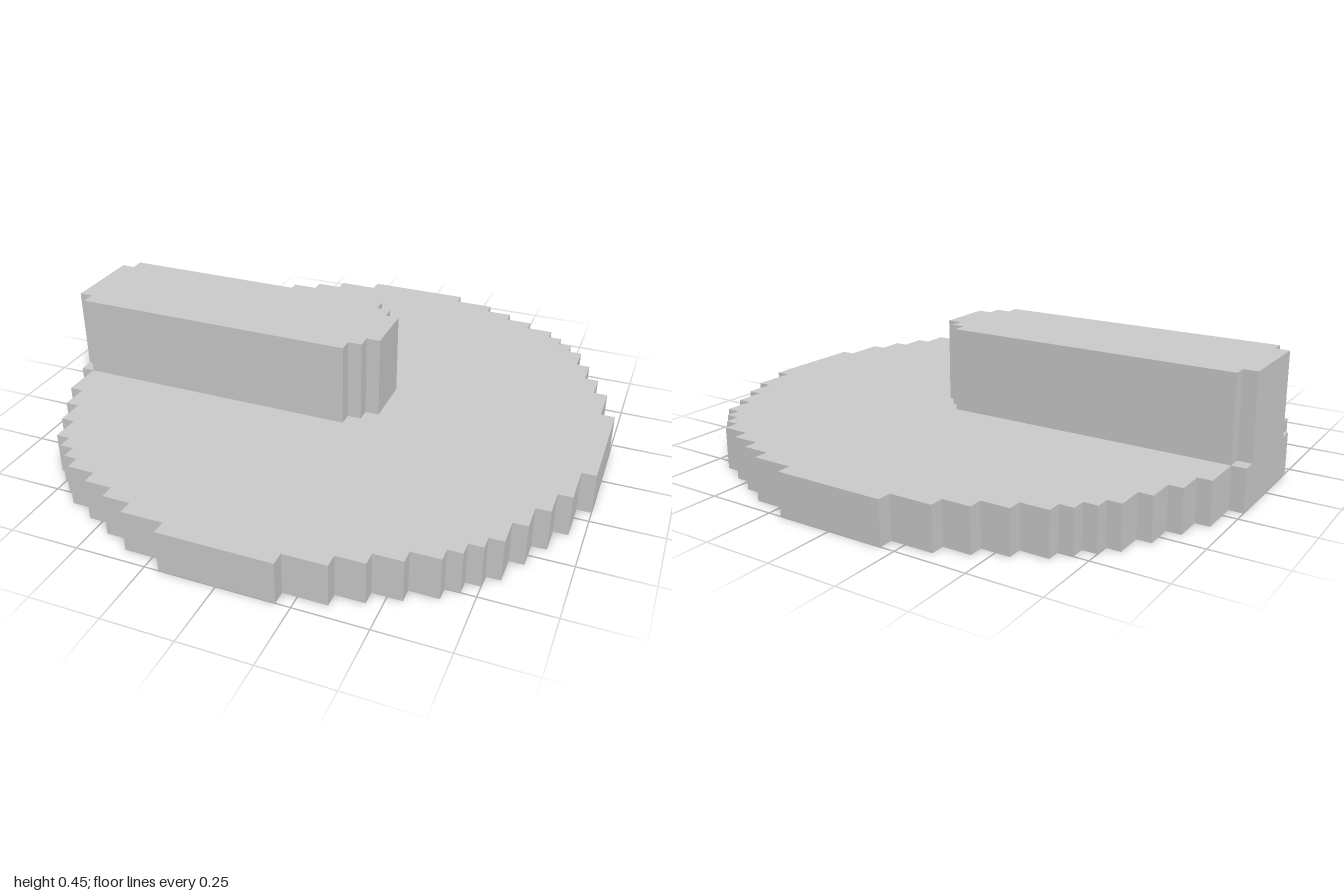
import * as THREE from 'three';

// Extrudes an outline that is mirrored across z = 0, given the half running from -x to +x.
function mirroredSlab(name, half, bottom, height, material) {
  const points = [
    ...half.map(([x, z]) => new THREE.Vector2(x, z)),
    ...[...half].reverse().map(([x, z]) => new THREE.Vector2(x, -z)),
  ];
  const geometry = new THREE.ExtrudeGeometry(new THREE.Shape(points), { depth: height, bevelEnabled: false });
  geometry.rotateX(-Math.PI / 2);
  geometry.translate(0, bottom, 0);
  const mesh = new THREE.Mesh(geometry, material);
  mesh.name = name;
  return mesh;
}

export function createModel() {
  const group = new THREE.Group();
  group.name = 'steppedDial';
  const material = new THREE.MeshStandardMaterial({ color: 0xcccccc, flatShading: true });

  // Stepped round base: each row is [half width in x, z where that row ends]
  const rows = [
    [1, 0.2], [0.95, 0.35], [0.9, 0.45], [0.85, 0.55], [0.8, 0.65], [0.75, 0.7],
    [0.7, 0.75], [0.65, 0.8], [0.55, 0.85], [0.45, 0.9], [0.35, 0.95], [0.2, 1],
  ];
  const left = [];
  rows.forEach(([x, z], i) => {
    if (i > 0) left.push([-x, rows[i - 1][1]]);
    left.push([-x, z]);
  });
  const right = left.map(([x, z]) => [-x, z]).reverse();
  group.add(mirroredSlab('base', [...left, ...right], 0, 0.15, material));

  // Upright bar from the rim to just past the centre, with a stepped nose
  const bar = [
    [-1, 0.15], [-0.95, 0.15], [-0.95, 0.2], [0.1, 0.2],
    [0.1, 0.15], [0.15, 0.15], [0.15, 0.1], [0.2, 0.1],
  ];
  group.add(mirroredSlab('bar', bar, 0.15, 0.3, material));

  return group;
}
